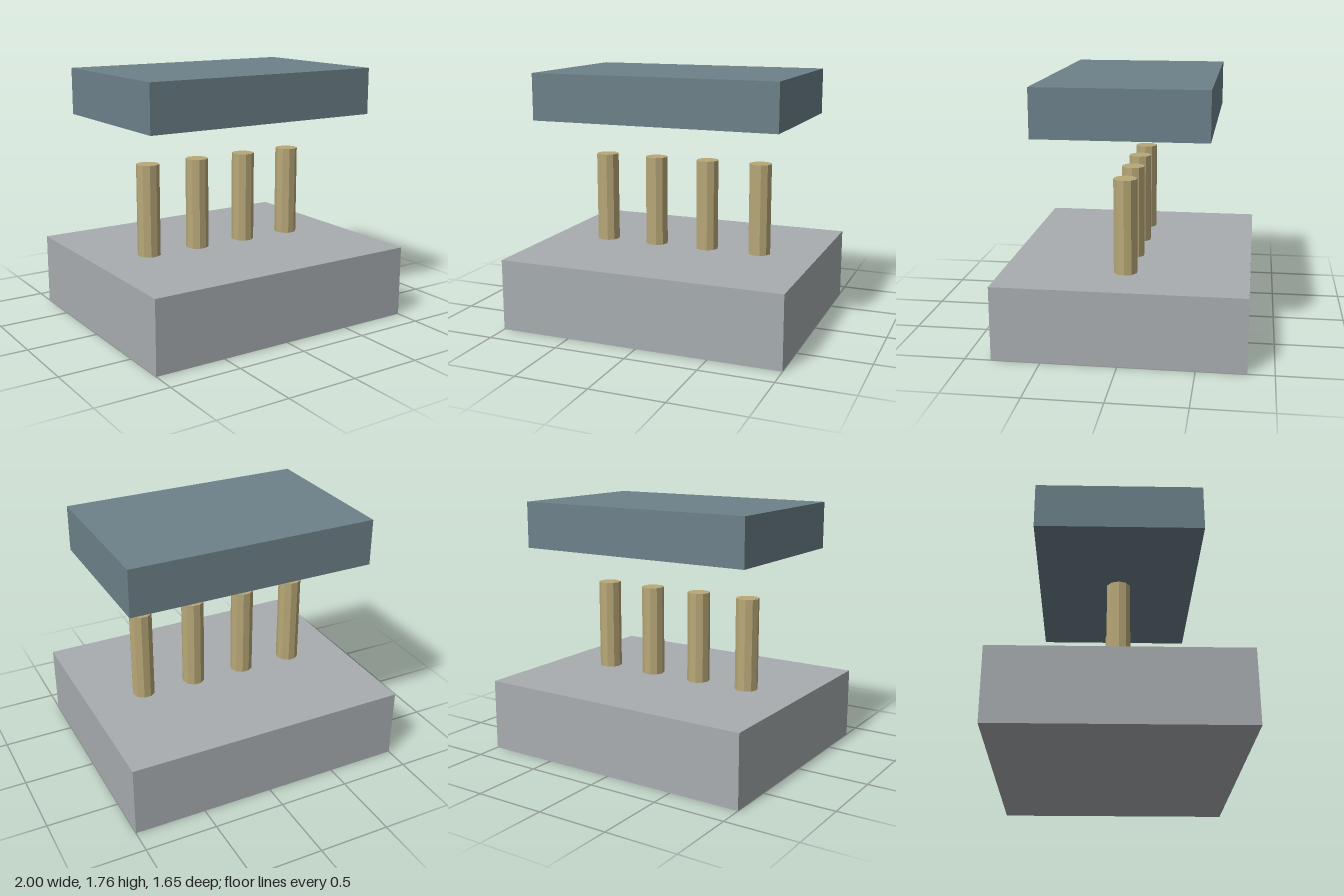
import * as THREE from 'three';

export function createModel() {
  const model = new THREE.Group();
  const stone = new THREE.MeshStandardMaterial({ name: 'grey stone', color: 0xa8adb0 });
  const slate = new THREE.MeshStandardMaterial({ name: 'blue slate', color: 0x6d818a });
  const sand = new THREE.MeshStandardMaterial({ name: 'sand', color: 0xb8a878 });
  sand.flatShading = true;

  const add = (name, geometry, material, x, y) => {
    const mesh = new THREE.Mesh(geometry, material);
    mesh.name = name;
    mesh.position.set(x, y, 0);
    model.add(mesh);
  };

  // Base block and the slab floating above it
  add('base', new THREE.BoxGeometry(2, 0.5, 1.652), stone, 0, 0.25);
  add('upperSlab', new THREE.BoxGeometry(1.74, 0.324, 1.13), slate, 0, 1.598);

  // Row of four ten-sided columns, flat faces to the front and back
  const column = new THREE.CylinderGeometry(0.08, 0.08, 0.64, 10, 1, false, Math.PI / 2);
  for (let i = 0; i < 4; i++) {
    add('column' + (i + 1), column, sand, (i - 1.5) * 0.391, 0.82);
  }
  return model;
}
